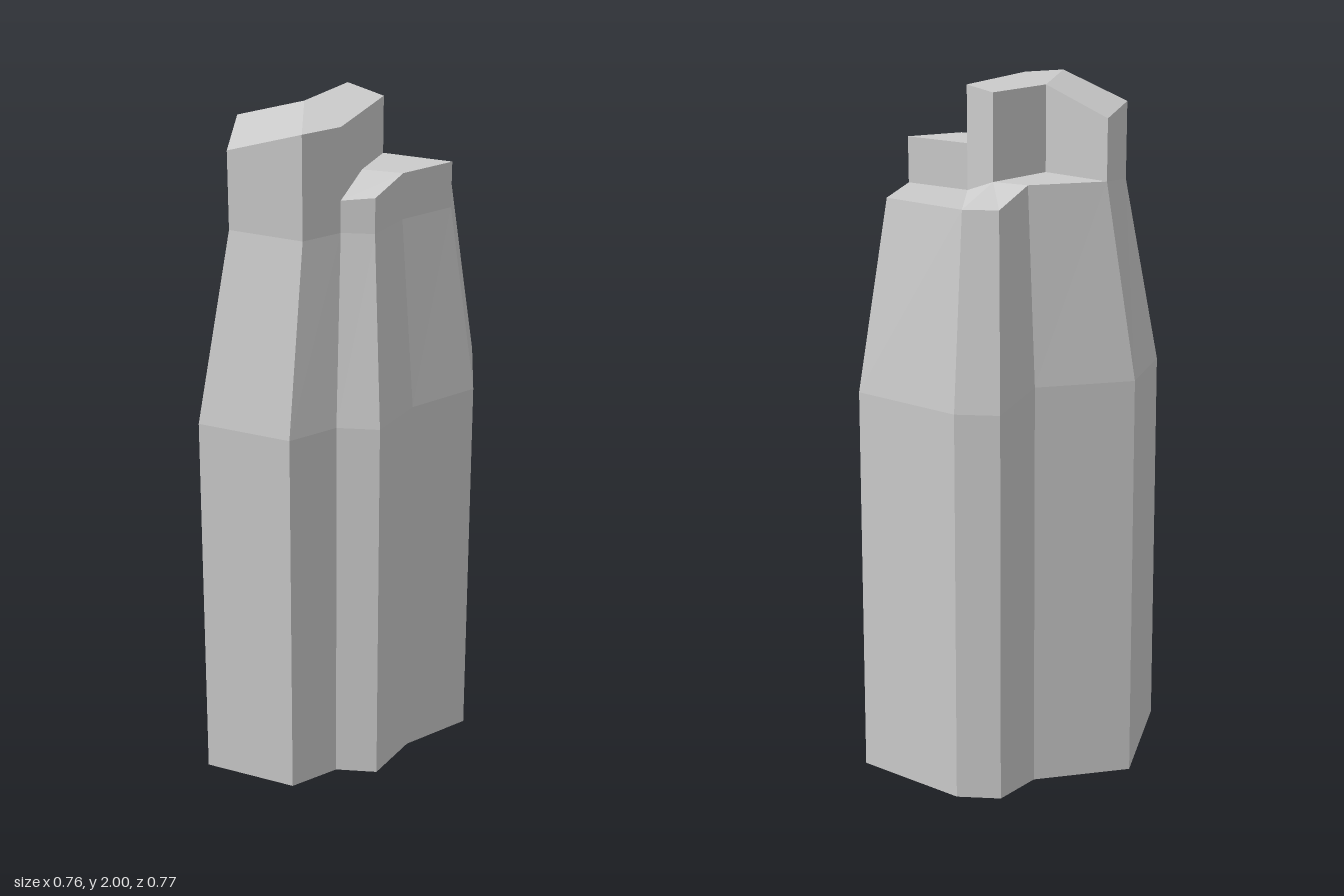
import * as THREE from 'three';

// Outline corners, counter-clockwise seen from above: [base x, base z, shoulder x, shoulder z, raised]
const OUTLINE = {
  A: [-0.24, 0.385, -0.175, 0.28, 0],
  B: [0.035, 0.37, 0.035, 0.27, 0],
  C: [0.12, 0.245, 0.10, 0.175, 0],
  D: [0.235, 0.205, 0.185, 0.145, 0],
  E: [0.265, 0.04, 0.21, 0.02, 0],
  F: [0.38, -0.14, 0.295, -0.115, 0],
  G: [0.28, -0.39, 0.22, -0.305, 0],
  H: [-0.06, -0.39, -0.035, -0.305, 0],
  I: [-0.17, -0.325, -0.12, -0.255, 0],
  J: [-0.185, -0.18, -0.135, -0.145, 1],
  K: [-0.38, 0.035, -0.28, 0.018, 1],
};
const KEYS = Object.keys(OUTLINE);

// Inner corners where the three steps of the top meet, plus one crease point
const INNER = { P: [0.10, -0.10], Q: [-0.035, -0.165], S: [-0.075, 0.025], M: [0.10, 0.04] };

const base = k => [OUTLINE[k][0], 0, OUTLINE[k][1]];
const middle = k => [OUTLINE[k][0] * 0.978, OUTLINE[k][4] ? 1.21 : 1.165, OUTLINE[k][1] * 0.975];
const at = (k, y) => OUTLINE[k] ? [OUTLINE[k][2], y, OUTLINE[k][3]] : [INNER[k][0], y, INNER[k][1]];

// Heights of the low ledge, the side step and the tall peak at each corner
const ledge = k => at(k, 'JKQS'.includes(k) ? 1.76 : 1.71);
const step = k => at(k, { C: 1.80, D: 1.81 }[k] ?? 1.84);
const peak = k => at(k, 'KA'.includes(k) ? 1.93 : 2);

// Fan of triangles over a polygon
const fan = pts => pts.slice(2).flatMap((p, i) => [...pts[0], ...pts[i + 1], ...p]);
const cap = (keys, level) => fan([...keys].map(level));

// Strip of walls along a run of corners, from one level up to another
function walls(keys, low, high) {
  const out = [];
  for (let i = 0; i + 1 < keys.length; i++) {
    const a = keys[i], b = keys[i + 1];
    out.push(...fan([low(a), low(b), high(b), high(a)]));
  }
  return out;
}

const material = new THREE.MeshStandardMaterial({
  color: 0xcccccc, flatShading: true, side: THREE.DoubleSide,
});

function part(name, ...pieces) {
  const g = new THREE.BufferGeometry();
  g.setAttribute('position', new THREE.Float32BufferAttribute(pieces.flat(), 3));
  g.computeVertexNormals();
  const mesh = new THREE.Mesh(g, material);
  mesh.name = name;
  return mesh;
}

export function createModel() {
  const group = new THREE.Group();
  group.name = 'rockPillar';
  const loop = [...KEYS, KEYS[0]];

  // Lower shaft, open underneath, and the tapering shoulder
  group.add(part('shaft', walls(loop, base, middle)));
  group.add(part('shoulder', walls(loop, middle, ledge)));

  // Low ledge around the back
  group.add(part('backLedge', cap('PFGHQ', ledge), cap('QHIJ', ledge), cap('SQJK', ledge)));

  // Middle step on the side, sloping down at the front
  group.add(part('sideStep', walls('CDEFP', ledge, step), cap('CDEM', step), cap('MEFP', step)));

  // Tall peak with a slanted corner
  group.add(part('peak',
    walls('KABC', ledge, peak),
    walls('CMP', step, peak),
    walls('PQSK', ledge, peak),
    cap('SKAB', peak),
    cap('SBCMPQ', peak)));

  return group;
}
